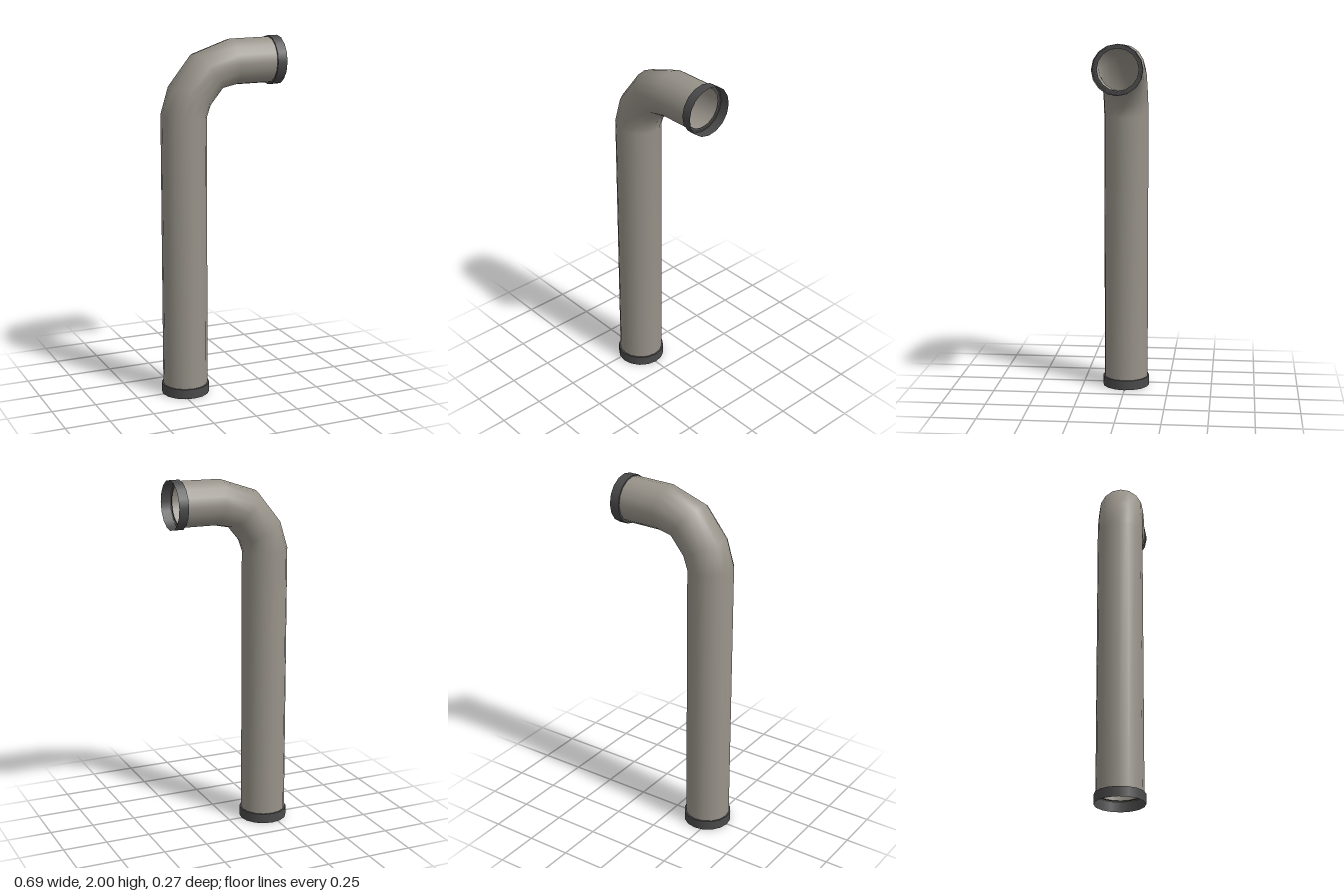
import * as THREE from 'three';

const SIDES = 16;
const PIPE_R = 0.126, COLLAR_R = 0.135, BORE_R = 0.111, COLLAR_H = 0.055;

// Smooth tube through rings of [x, y, tilt]; tilt turns the ring from horizontal to vertical
function bentPipe(rings, radius) {
  const pos = [], nor = [], index = [];
  for (const [x, y, deg] of rings) {
    const t = THREE.MathUtils.degToRad(deg);
    for (let j = 0; j < SIDES; j++) {
      const a = (j / SIDES) * Math.PI * 2;
      const n = [Math.cos(a) * Math.cos(t), -Math.cos(a) * Math.sin(t), Math.sin(a)];
      pos.push(x + n[0] * radius, y + n[1] * radius, n[2] * radius);
      nor.push(...n);
    }
  }
  for (let i = 0; i < rings.length - 1; i++) {
    for (let j = 0; j < SIDES; j++) {
      const k = (j + 1) % SIDES;
      const a = i * SIDES + j, c = i * SIDES + k;
      index.push(a, a + SIDES, c, a + SIDES, c + SIDES, c);
    }
  }
  const geo = new THREE.BufferGeometry();
  geo.setAttribute('position', new THREE.Float32BufferAttribute(pos, 3));
  geo.setAttribute('normal', new THREE.Float32BufferAttribute(nor, 3));
  geo.setIndex(index);
  return geo;
}

// Open collar: thin outer band with a ring-shaped shoulder at its inner end
function makeCollar(name, material) {
  const collar = new THREE.Group();
  collar.name = name;
  const band = new THREE.Mesh(
    new THREE.CylinderGeometry(COLLAR_R, COLLAR_R, COLLAR_H, SIDES, 1, true).translate(0, COLLAR_H / 2, 0), material);
  band.name = 'collarBand';
  const shoulder = new THREE.Mesh(
    new THREE.RingGeometry(BORE_R, COLLAR_R, SIDES).rotateX(-Math.PI / 2).translate(0, COLLAR_H, 0), material);
  shoulder.name = 'collarShoulder';
  collar.add(band, shoulder);
  return collar;
}

export function createModel() {
  const model = new THREE.Group();
  model.name = 'bentPipe';

  const pipeGrey = new THREE.MeshStandardMaterial({ color: 0x98938a, side: THREE.DoubleSide });
  pipeGrey.name = 'warm grey';
  const darkGrey = new THREE.MeshStandardMaterial({ color: 0x4a4a4a, side: THREE.DoubleSide });
  darkGrey.name = 'dark grey';

  // Upright run, elbow and short horizontal outlet
  const pipe = new THREE.Mesh(bentPipe([
    [-0.212, COLLAR_H - 0.005, 0],
    [-0.212, 1.586, 4],
    [-0.178, 1.692, 25],
    [-0.075, 1.82, 50],
    [0.074, 1.865, 83],
    [0.295, 1.867, 90],
  ], PIPE_R), pipeGrey);
  pipe.name = 'pipe';

  // Collars on the foot and on the outlet
  const foot = makeCollar('footCollar', darkGrey);
  foot.position.set(-0.212, 0, 0);
  const outlet = makeCollar('outletCollar', darkGrey);
  outlet.rotation.z = Math.PI / 2;
  outlet.position.set(0.345, 1.865, 0);

  model.add(pipe, foot, outlet);
  return model;
}
